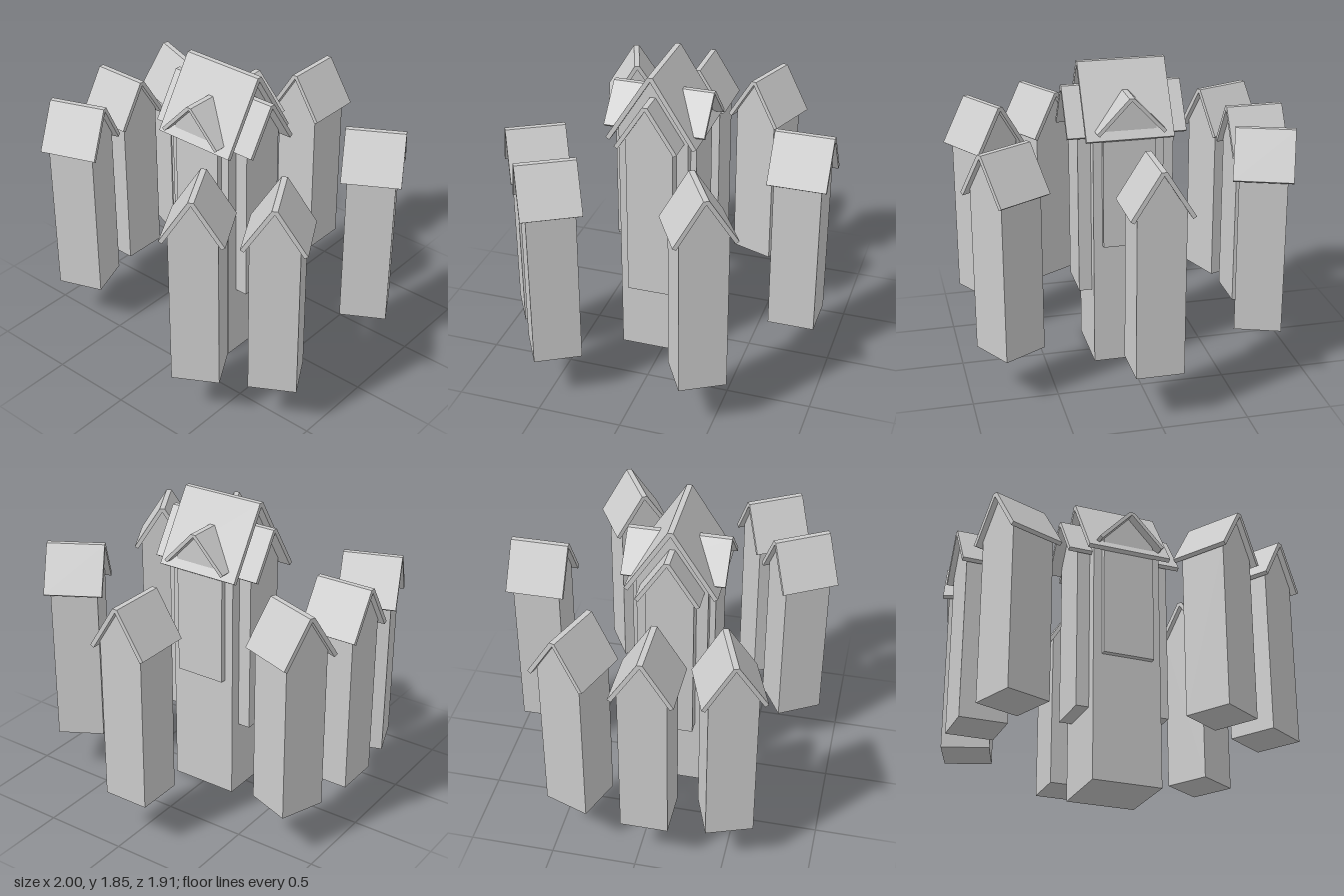
import * as THREE from 'three';

const material = new THREE.MeshStandardMaterial({ color: 0xcccccc, flatShading: true });
const RIDGE = 0.016; // half width of the flat ridge

// Extrudes an outline along z, centred on z = 0
function prism(name, points, length) {
  const shape = new THREE.Shape(points.map(([x, y]) => new THREE.Vector2(x, y)));
  const geometry = new THREE.ExtrudeGeometry(shape, { depth: length, bevelEnabled: false });
  geometry.translate(0, 0, -length / 2);
  const mesh = new THREE.Mesh(geometry, material);
  mesh.name = name;
  return mesh;
}

// Gabled block with a folded slab roof; the ridge runs along local z
function gabledBlock(name, { bottom, wall, wallLength, top, eave, roof, roofLength, slab }) {
  const slope = (top - eave) / (roof - RIDGE);
  const angle = Math.atan(slope);
  const innerTop = top + RIDGE * slope - slab / Math.cos(angle);
  const ix = roof - slab * Math.sin(angle);
  const iy = eave - slab * Math.cos(angle);

  const group = new THREE.Group();
  group.name = name;
  const shoulder = innerTop - wall * slope;
  group.add(prism(name + 'Walls', [
    [-wall, bottom], [wall, bottom], [wall, shoulder], [0, innerTop], [-wall, shoulder],
  ], wallLength));
  group.add(prism(name + 'Roof', [
    [-ix, iy], [0, innerTop], [ix, iy], [roof, eave], [RIDGE, top], [-RIDGE, top], [-roof, eave],
  ], roofLength));
  return group;
}

export function createModel() {
  const model = new THREE.Group();
  model.name = 'towerCluster';

  // Central keep: main tower, side wings and front/back dormers crossing through it
  const keep = new THREE.Group();
  keep.name = 'keep';
  keep.position.set(-0.003, 0, 0.052);

  const mainTower = gabledBlock('mainTower', {
    bottom: 0, wall: 0.209, wallLength: 0.42,
    top: 1.85, eave: 1.445, roof: 0.272, roofLength: 0.52, slab: 0.027,
  });
  mainTower.rotation.y = Math.PI / 2;

  const sideWings = gabledBlock('sideWings', {
    bottom: 0.455, wall: 0.141, wallLength: 0.575,
    top: 1.71, eave: 1.445, roof: 0.187, roofLength: 0.71, slab: 0.025,
  });
  sideWings.rotation.y = Math.PI / 2;

  const dormers = gabledBlock('dormers', {
    bottom: 0.77, wall: 0.157, wallLength: 0.486,
    top: 1.695, eave: 1.495, roof: 0.205, roofLength: 0.606, slab: 0.022,
  });
  keep.add(mainTower, sideWings, dormers);
  model.add(keep);

  // Ring of outer towers: x, z and heading of the ridge in degrees
  const ring = [
    [-0.005, -0.785, 0],
    [-0.757, -0.386, 70],
    [-0.828, 0.05, 90],
    [-0.757, 0.487, 110],
    [0.754, -0.387, 120],
    [0.371, 0.707, 30],
    [0.754, 0.487, 30],
  ];
  for (const [x, z, heading] of ring) {
    const tower = gabledBlock('outerTower', {
      bottom: 0.285, wall: 0.139, wallLength: 0.28,
      top: 1.51, eave: 1.247, roof: 0.182, roofLength: 0.347, slab: 0.025,
    });
    tower.position.set(x, 0, z);
    tower.rotation.y = THREE.MathUtils.degToRad(heading);
    model.add(tower);
  }
  return model;
}
